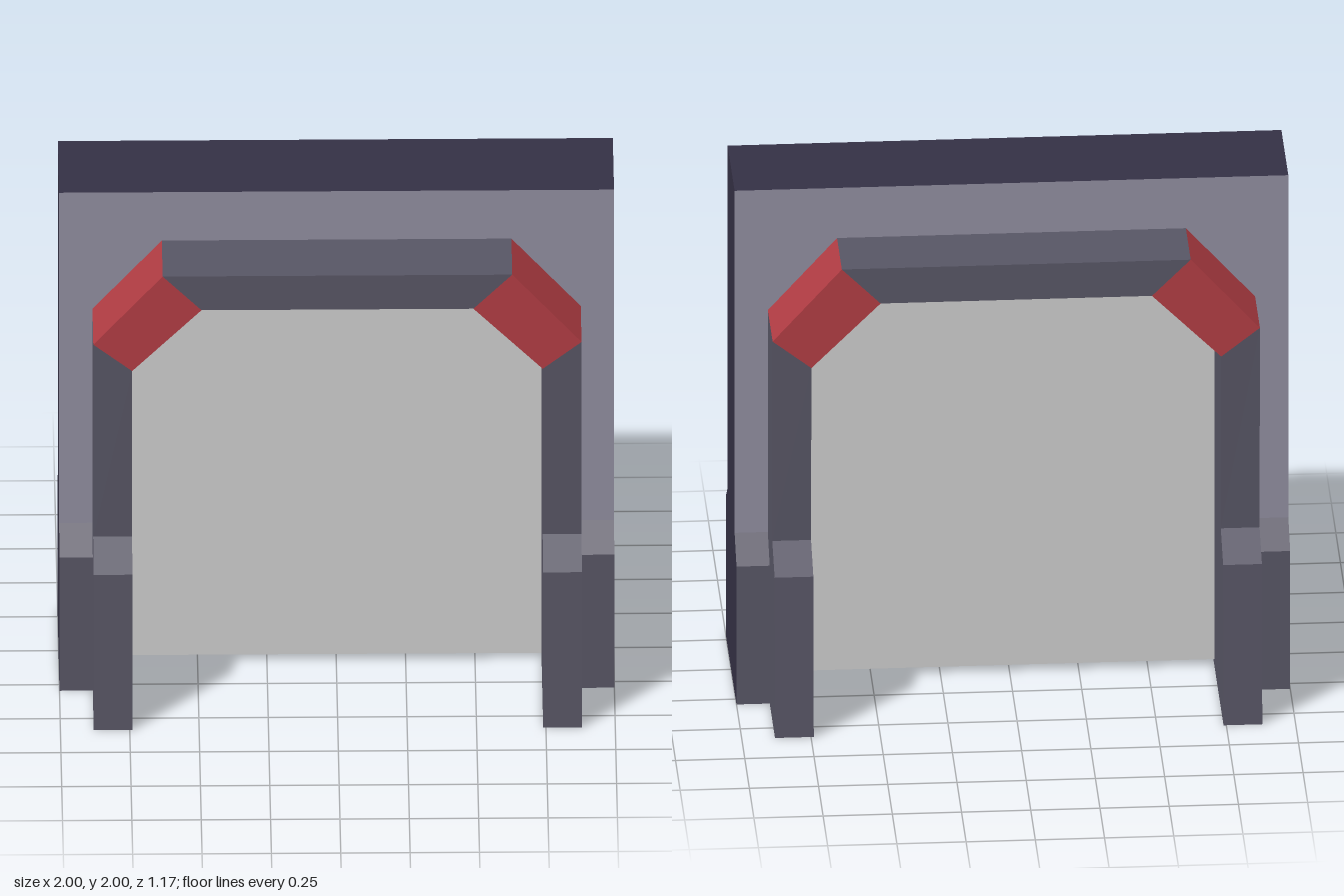
import * as THREE from 'three';

const mat = (color) => new THREE.MeshStandardMaterial({ color, flatShading: true, side: THREE.DoubleSide });

// Sweep a four-cornered section along the arch. Each station is
// [xInner, yInner, xOuter, yOuter, halfDepth]; sides: 0 front, 1 outer, 2 back, 3 inner.
function sweep(stations, sides = [0, 1, 2, 3]) {
  const rings = stations.map(([xi, yi, xo, yo, z]) => [
    [xi, yi, z], [xo, yo, z], [xo, yo, -z], [xi, yi, -z],
  ]);
  const pos = [];
  for (let i = 0; i < rings.length - 1; i++) {
    for (const s of sides) {
      const t = (s + 1) % 4;
      const a = rings[i][s], b = rings[i][t], c = rings[i + 1][t], d = rings[i + 1][s];
      pos.push(...a, ...b, ...c, ...a, ...c, ...d);
    }
  }
  const g = new THREE.BufferGeometry();
  g.setAttribute('position', new THREE.Float32BufferAttribute(pos, 3));
  g.computeVertexNormals();
  return g;
}

// The same stations on the other side, in reverse so the sweep keeps its direction
const mirror = (st) => st.map(([xi, yi, xo, yo, z]) => [-xi, yi, -xo, yo, z]).reverse();

export function createModel() {
  const group = new THREE.Group();
  const frame = mat(0x575564), rim = mat(0x343044), wall = mat(0x8f8c9e);
  const red = mat(0xb03c43), grey = mat(0xcccccc);
  const add = (name, geometry, material) => {
    const m = new THREE.Mesh(geometry, material);
    m.name = name;
    group.add(m);
    return m;
  };

  // Stations, bottom to top
  const jambTop = [0.74, 1.41, 0.88, 1.52, 0.455];
  const lintelEnd = [0.49, 1.66, 0.63, 1.8, 0.455];
  const jamb = [
    [0.74, 0, 0.88, 0, 0.585],
    [0.74, 0.63, 0.88, 0.63, 0.565],
    [0.74, 0.715, 0.88, 0.715, 0.435],
    jambTop,
  ];
  const corner = [jambTop, lintelEnd];
  const buttress = [
    [0.88, 0, 1, 0, 0.295],
    [0.88, 0.55, 1, 0.55, 0.295],
    [0.88, 0.635, 1, 0.635, 0.19],
  ];
  const rimSide = [...buttress, [0.88, 2, 1, 2, 0.19]];

  // Door frame with stepped feet, coloured corner blocks and outer buttresses
  for (const [side, path] of [['left', (s) => s], ['right', mirror]]) {
    add(side + 'Jamb', sweep(path(jamb)), frame);
    add(side + 'CornerBlock', sweep(path(corner)), red);
    add(side + 'Buttress', sweep(path(buttress), [0, 2]), frame);
  }
  add('lintel', sweep([lintelEnd, ...mirror([lintelEnd])]), frame);

  // Dark outer edge running up one side, over the top and down the other
  add('outerRim', sweep([...rimSide, ...mirror(rimSide)], [1]), rim);

  // Wall faces around the frame
  const half = [[0.88, 0.635], [1, 0.635], [1, 2]];
  const inner = [[-0.88, 1.52], [-0.63, 1.8], [0.63, 1.8], [0.88, 1.52]];
  const outline = [...half, ...half.map(([x, y]) => [-x, y]).reverse(), ...inner];
  const face = new THREE.ShapeGeometry(new THREE.Shape(outline.map(([x, y]) => new THREE.Vector2(x, y))));
  add('frontWall', face, wall).position.z = 0.19;
  const back = add('backWall', face, wall);
  back.position.z = -0.19;
  back.rotation.y = Math.PI;

  // Door panel, its edges tucked into the frame
  add('doorPanel', new THREE.BoxGeometry(1.57, 1.675, 0.16), grey).position.y = 0.8625;

  return group;
}
